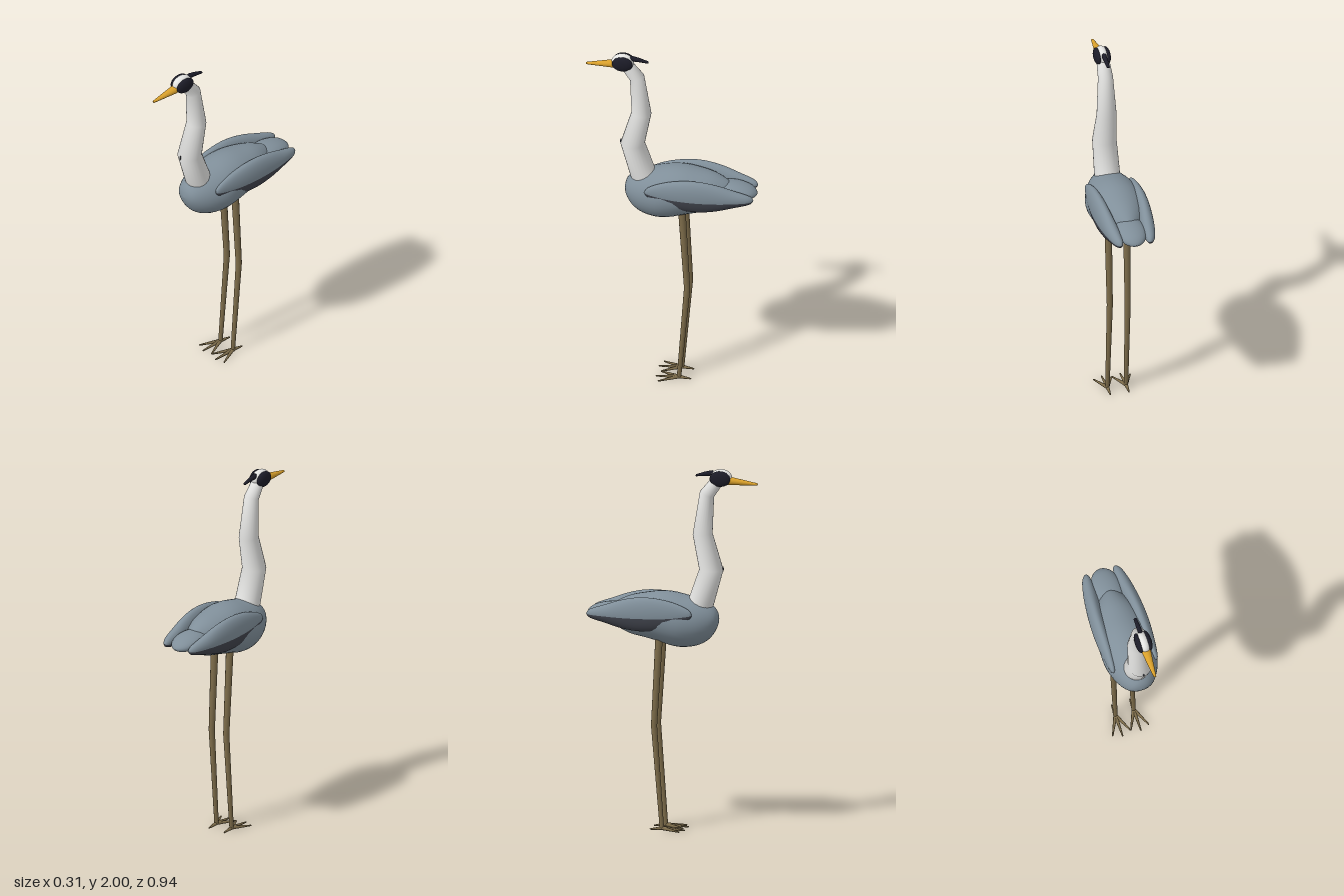
import * as THREE from 'three';

const mat = (name, color) => Object.assign(new THREE.MeshStandardMaterial({ color }), { name });

// Catmull-Rom resampling of every component of the cross-sections
function smooth(rows, steps) {
  const out = [], last = rows.length - 1;
  for (let i = 0; i < last; i++) {
    const [a, b, c, d] = [rows[Math.max(i - 1, 0)], rows[i], rows[i + 1], rows[Math.min(i + 2, last)]];
    for (let s = 0; s < steps; s++) {
      const t = s / steps;
      out.push(b.map((v, k) => v + 0.5 * t * (c[k] - a[k]
        + t * (2 * a[k] - 5 * v + 4 * c[k] - d[k] + t * (3 * (v - c[k]) + d[k] - a[k])))));
    }
  }
  out.push(rows[last]);
  return out;
}

// Skin over elliptical rings [x, y, z, rx, ry]; aligned rings stand square to the path
function loft(rows, n, aligned = false) {
  const pos = [], idx = [], last = rows.length - 1;
  rows.forEach(([x, y, z, rx, ry = rx], i) => {
    let uy = 1, uz = 0;
    if (aligned) {
      const dir = (p, q) => new THREE.Vector2(q[1] - p[1], q[2] - p[2]).normalize();
      const t = new THREE.Vector2();
      if (i > 0) t.add(dir(rows[i - 1], rows[i]));
      if (i < last) t.add(dir(rows[i], rows[i + 1]));
      t.normalize();
      uy = -t.y;
      uz = t.x;
    }
    for (let j = 0; j < n; j++) {
      const a = j / n * Math.PI * 2, c = Math.max(rx, 0.0005) * Math.cos(a), s = Math.max(ry, 0.0005) * Math.sin(a);
      pos.push(x + c, y + s * uy, z + s * uz);
    }
  });
  for (let j = 0; j < n; j++) {
    for (let i = 0; i < last; i++) {
      const k = (j + 1) % n, a = i * n + j, b = i * n + k, c = a + n, d = b + n;
      idx.push(a, c, b, b, c, d);
    }
  }
  const g = new THREE.BufferGeometry();
  g.setAttribute('position', new THREE.Float32BufferAttribute(pos, 3));
  g.setIndex(idx);
  g.computeVertexNormals();
  return g;
}

export function createModel() {
  const model = new THREE.Group();
  const grey = mat('plumage grey', 0x808f9a), dark = mat('flight feather grey', 0x41444d);
  const white = mat('neck white', 0xe4e4e2), black = mat('mask black', 0x1c1c28);
  const yellow = mat('bill yellow', 0xd9a02b), brown = mat('leg brown', 0x7d6c4a);

  const add = (name, geometry, material, parent = model) => {
    const mesh = new THREE.Mesh(geometry, material);
    mesh.name = name;
    parent.add(mesh);
    return mesh;
  };
  const ellipsoid = (name, material, [x, y, z], [rx, ry, rz]) =>
    add(name, new THREE.SphereGeometry(1, 24, 16).scale(rx, ry, rz).translate(x, y, z), material);

  // Body and tail
  add('body', loft(smooth([
    [0, 1.17, 0.256, 0, 0], [0, 1.17, 0.245, 0.05, 0.045], [0, 1.16, 0.21, 0.088, 0.092],
    [0, 1.155, 0.15, 0.122, 0.126], [0, 1.157, 0.07, 0.146, 0.143], [0, 1.167, 0, 0.15, 0.147],
    [0, 1.178, -0.07, 0.147, 0.138], [0, 1.182, -0.15, 0.134, 0.122], [0, 1.182, -0.23, 0.106, 0.105],
    [0, 1.183, -0.3, 0.064, 0.073], [0, 1.185, -0.325, 0.036, 0.048], [0, 1.185, -0.337, 0, 0],
  ], 3), 32), grey);
  add('tail', loft(smooth([
    [0, 1.195, -0.17, 0, 0], [0, 1.197, -0.22, 0.055, 0.035], [0, 1.2, -0.3, 0.08, 0.047],
    [0, 1.2, -0.37, 0.08, 0.043], [0, 1.195, -0.43, 0.06, 0.031], [0, 1.19, -0.46, 0.03, 0.015],
    [0, 1.188, -0.47, 0, 0],
  ], 4), 24), grey);

  // Folded wings, with dark flight feathers along the lower edge
  for (const s of [-1, 1]) {
    const sides = 32, lower = 17;
    const wing = loft(smooth([
      [0.122, 1.21, 0.132, 0, 0], [0.121, 1.211, 0.118, 0.013, 0.025], [0.119, 1.209, 0.07, 0.024, 0.052],
      [0.117, 1.206, 0, 0.034, 0.077], [0.116, 1.205, -0.09, 0.04, 0.092], [0.113, 1.203, -0.18, 0.041, 0.092],
      [0.106, 1.2, -0.27, 0.04, 0.076], [0.098, 1.197, -0.35, 0.036, 0.051], [0.09, 1.194, -0.42, 0.026, 0.031],
      [0.085, 1.192, -0.45, 0.014, 0.017], [0.084, 1.192, -0.46, 0, 0],
    ].map(([x, ...rest]) => [x * s, ...rest]), 3), sides);
    const strip = wing.index.count / sides;
    wing.addGroup(0, lower * strip, 0);
    wing.addGroup(lower * strip, (sides - lower - 1) * strip, 1);
    wing.addGroup((sides - 1) * strip, strip, 0);
    add(s > 0 ? 'leftWing' : 'rightWing', wing, [grey, dark]);
  }

  // Kinked neck with small throat streaks
  add('neck', loft([
    [0, 1.17, 0.125, 0.066], [0, 1.27, 0.16, 0.07], [0, 1.445, 0.214, 0.066], [0, 1.64, 0.166, 0.054],
    [0, 1.86, 0.19, 0.041], [0, 1.945, 0.255, 0.034],
  ], 24, true), white);
  ellipsoid('throatStreak', dark, [0, 1.45, 0.278], [0.004, 0.014, 0.005]);

  // Head, side masks, crest and bill
  ellipsoid('head', white, [0, 1.953, 0.268], [0.036, 0.047, 0.062]);
  for (const s of [-1, 1]) {
    ellipsoid(s > 0 ? 'leftMask' : 'rightMask', black, [s * 0.026, 1.951, 0.267], [0.02, 0.043, 0.057]);
  }
  add('crest', loft([
    [0, 1.978, 0.245, 0, 0], [0, 1.977, 0.22, 0.013, 0.016], [0, 1.972, 0.18, 0.012, 0.012],
    [0, 1.961, 0.13, 0.009, 0.006], [0, 1.96, 0.127, 0, 0],
  ], 12), black);
  add('bill', loft([
    [0, 1.925, 0.471, 0, 0], [0, 1.925, 0.469, 0.007, 0.006], [0, 1.937, 0.325, 0.025, 0.022],
    [0, 1.94, 0.3, 0.026, 0.023],
  ], 16), yellow);

  // Legs with backward-bent joints and four-toed feet
  for (const s of [-1, 1]) {
    const leg = new THREE.Group();
    leg.name = s > 0 ? 'leftLeg' : 'rightLeg';
    model.add(leg);
    add('shank', loft([
      [s * 0.052, 0.012, -0.048, 0.012], [s * 0.05, 0.58, -0.092, 0.017], [s * 0.052, 1.1, -0.062, 0.021],
    ], 12, true), brown, leg);
    [[0, 0.128], [0.45, 0.12], [-0.45, 0.12], [Math.PI, 0.068]].forEach(([angle, length], i) => {
      const toe = add('toe' + (i + 1), loft([
        [0, 0.01, length, 0, 0], [0, 0.009, length - 0.004, 0.004, 0.004],
        [0, 0.017, 0, 0.011, 0.011], [0, 0.017, -0.01, 0, 0],
      ], 8), brown, leg);
      toe.position.set(s * 0.052, 0, -0.048);
      toe.rotation.y = angle;
    });
  }
  return model;
}
